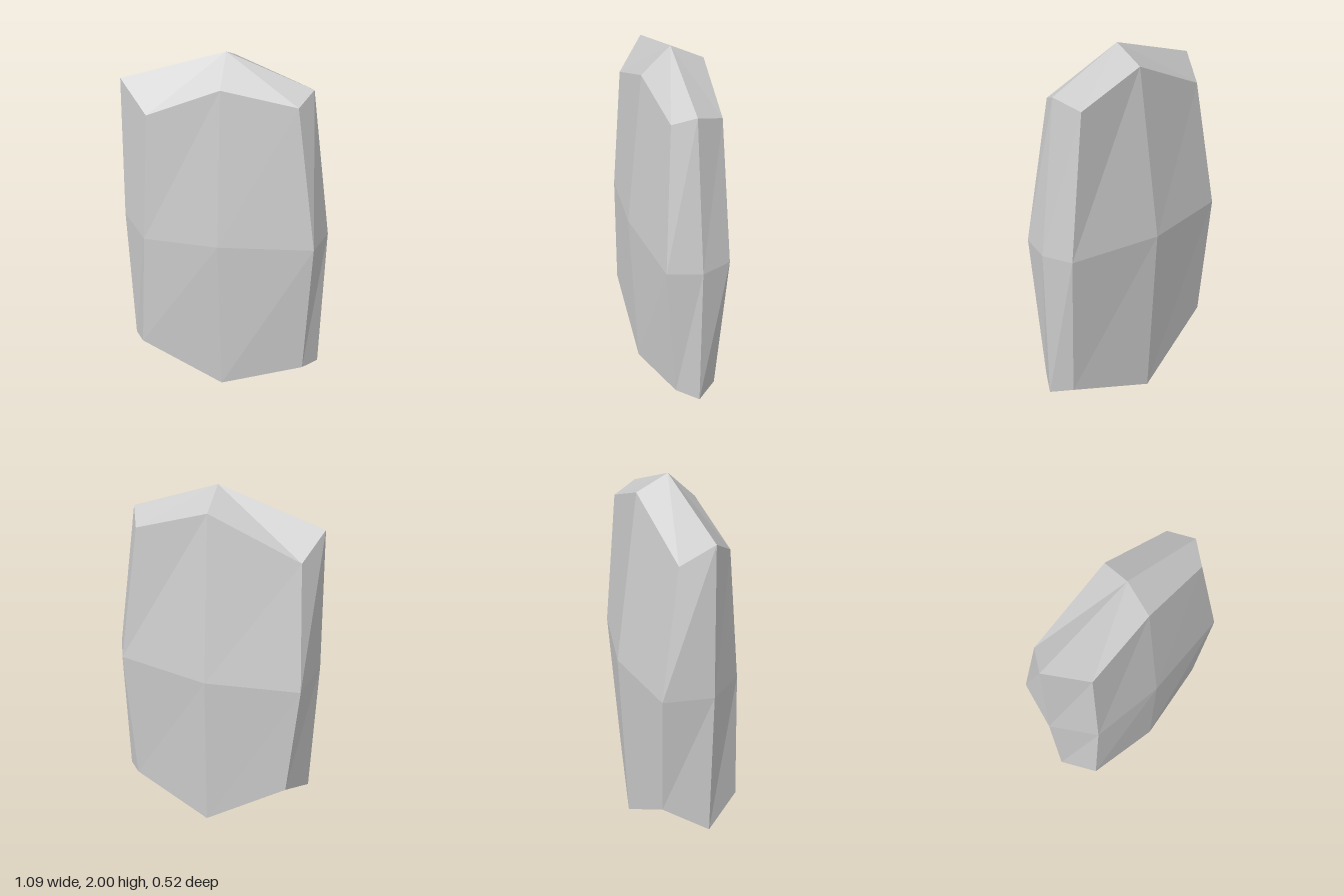
import * as THREE from 'three';

// Cross-sections of the stone, each running counterclockwise seen from above:
// left, front-left, front, front-right, right, back-right, back, back-left
const bottomRing = [
  [-0.525, 0.21, 0.027], [-0.43, 0.325, 0.23], [0.015, 0.08, 0.227], [0.455, 0.19, 0.14],
  [0.53, 0.16, 0.03], [0.455, 0.19, -0.077], [0.01, 0.045, -0.212], [-0.43, 0.345, -0.2],
];
const middleRing = [
  [-0.545, 1.03, 0.027], [-0.39, 1.02, 0.233], [0, 1.03, 0.258], [0.485, 1.03, 0.197],
  [0.54, 1.03, 0.027], [0.485, 1.03, -0.13], [0.005, 1.03, -0.26], [-0.485, 1.03, -0.225],
];
const topRing = [
  [-0.525, 1.82, 0.025], [-0.36, 1.71, 0.185], [0, 1.865, 0.17], [0.37, 1.79, 0.137],
  [0.43, 1.84, 0.03], [0.38, 1.79, -0.107], [0.015, 1.92, -0.137], [-0.44, 1.705, -0.121],
];
const peak = [0.003, 2, 0.025];
const foot = [0.01, 0, 0.03];

function loftGeometry(rings, bottom, top) {
  const n = rings[0].length;
  const points = [...rings.flat(), bottom, top];
  const bottomId = points.length - 2;
  const topId = points.length - 1;
  const lastRing = (rings.length - 1) * n;
  const index = [];
  for (let i = 0; i < n; i++) {
    const j = (i + 1) % n;
    // side facets between neighbouring rings
    for (let r = 0; r < rings.length - 1; r++) {
      const a = r * n + i, b = r * n + j;
      index.push(a, b, b + n, a, b + n, a + n);
    }
    // bevelled ends
    index.push(bottomId, j, i);
    index.push(topId, lastRing + i, lastRing + j);
  }
  const indexed = new THREE.BufferGeometry();
  indexed.setAttribute('position', new THREE.Float32BufferAttribute(points.flat(), 3));
  indexed.setIndex(index);
  const geometry = indexed.toNonIndexed();
  geometry.computeVertexNormals();
  return geometry;
}

export function createModel() {
  const group = new THREE.Group();
  group.name = 'standingStone';
  const material = new THREE.MeshStandardMaterial({ color: 0xcccccc, flatShading: true });
  const stone = new THREE.Mesh(loftGeometry([bottomRing, middleRing, topRing], foot, peak), material);
  stone.name = 'stone';
  group.add(stone);
  return group;
}
